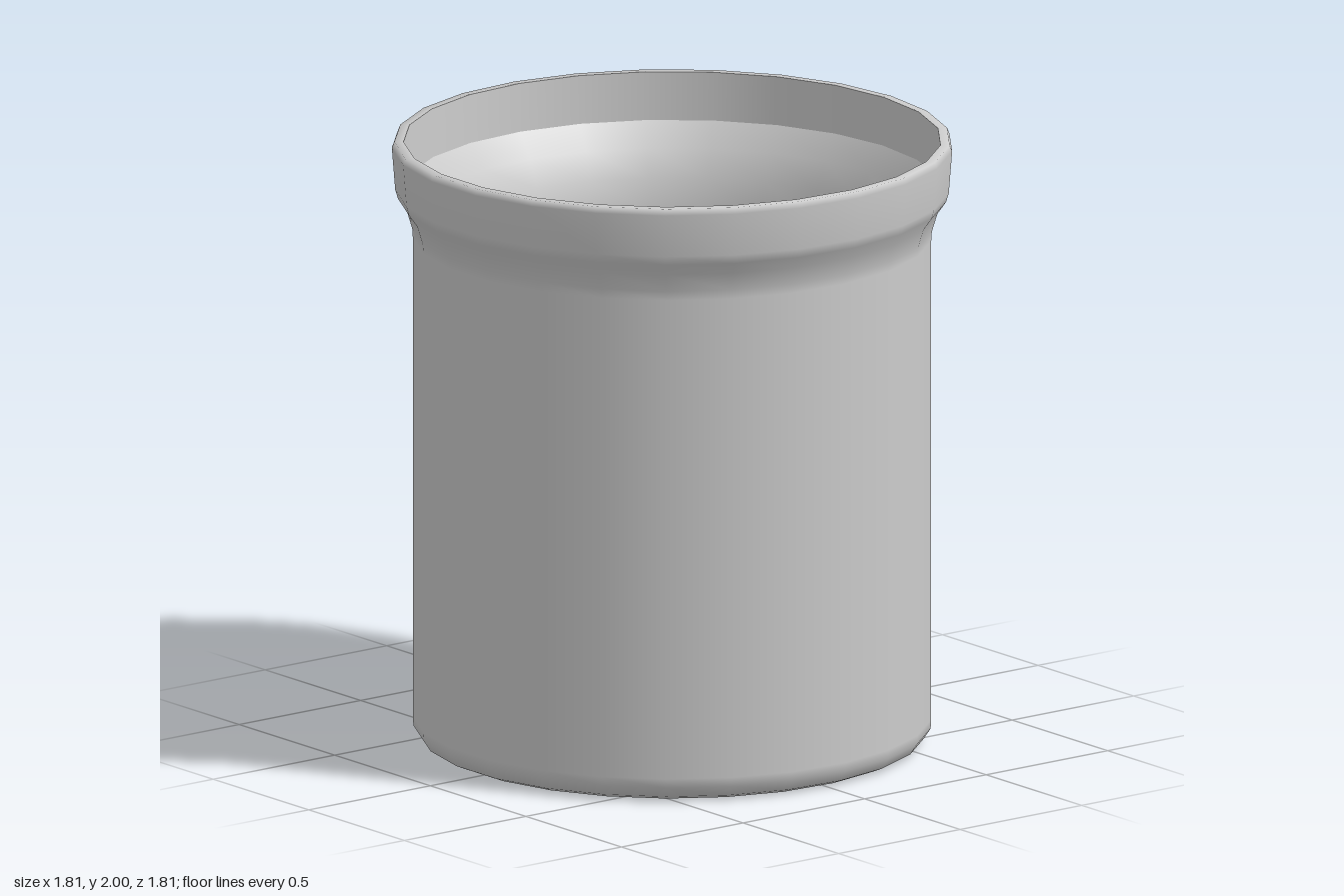
import * as THREE from 'three';

const SIDES = 25;

export function createModel() {
  const pot = new THREE.Group();
  pot.name = 'pot';
  const material = new THREE.MeshStandardMaterial({ color: 0xcccccc, side: THREE.DoubleSide });

  // One smooth surface of revolution; separate bands meet at sharp edges
  const addBand = (name, profile) => {
    const points = profile.map(([r, y]) => new THREE.Vector2(r, y));
    const mesh = new THREE.Mesh(new THREE.LatheGeometry(points, SIDES, Math.PI / 2), material);
    mesh.name = name;
    pot.add(mesh);
  };

  // Outer wall with rounded foot and flared collar
  addBand('outerWall', [
    [0.78, 0], [0.815, 0.015], [0.838, 0.05], [0.84, 0.08], [0.84, 1.68], [0.842, 1.71],
    [0.86, 1.77], [0.888, 1.81], [0.897, 1.84], [0.908, 1.98], [0.9, 2], [0.87, 2],
  ]);
  // Straight inside of the collar
  addBand('collarInside', [[0.87, 2], [0.865, 1.84]]);
  // Cavity, narrowing below the collar
  addBand('innerWall', [
    [0.865, 1.84], [0.81, 1.76], [0.77, 1.67], [0.75, 1.57], [0.75, 1.5], [0.75, 0.08],
  ]);
  // Recess under the floor
  addBand('footInside', [[0.75, 0.08], [0.78, 0]]);

  // Floor
  const floor = new THREE.Mesh(new THREE.CircleGeometry(0.75, SIDES).rotateX(-Math.PI / 2), material);
  floor.name = 'floor';
  floor.position.y = 0.08;
  pot.add(floor);

  // Centre the odd-sided outline
  for (const part of pot.children) part.position.x = -0.004;
  return pot;
}
